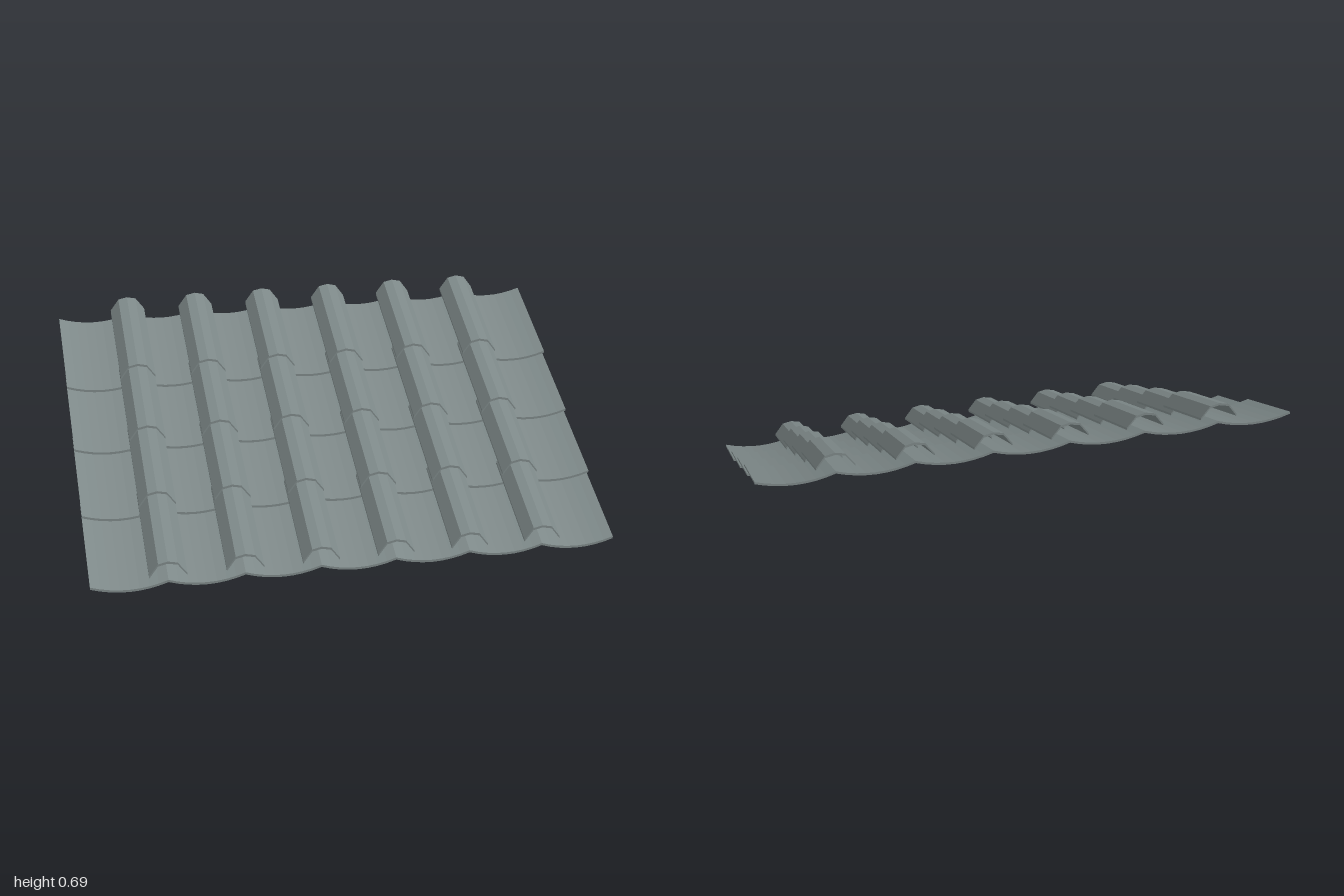
import * as THREE from 'three';

const COLUMNS = 7, ROWS = 4;
const PITCH = 2 / COLUMNS;          // width of one pan tile
const LENGTH = 0.384;               // tile length along z
const RISE = 0.153;                 // climb of a tile over its length
const FRONT = 0.638;                // front edge of the lowest course
const STEP_Z = 0.2973, STEP_Y = 0.143;
const THICKNESS = 0.009;

// Thick sheet from an upper profile, extruded back and sheared up the roof slope
function tileGeometry(profile) {
  const lower = profile.map(([x, y]) => new THREE.Vector2(x, y - THICKNESS));
  const upper = profile.map(([x, y]) => new THREE.Vector2(x, y)).reverse();
  const geometry = new THREE.ExtrudeGeometry(new THREE.Shape([...lower, ...upper]), {
    depth: LENGTH, bevelEnabled: false,
  });
  geometry.translate(0, 0, -LENGTH);
  const p = geometry.attributes.position;
  for (let i = 0; i < p.count; i++) p.setY(i, p.getY(i) - (p.getZ(i) / LENGTH) * RISE);
  geometry.computeVertexNormals();
  return geometry;
}

export function createModel() {
  const model = new THREE.Group();
  model.name = 'roofTiles';
  const slate = new THREE.MeshStandardMaterial({ color: 0x7d8888 });
  slate.name = 'slateGrey';

  // Shallow trough for the pans
  const panProfile = [];
  for (let i = 0; i <= 8; i++) {
    const u = i / 4 - 1;
    panProfile.push([u * PITCH / 2, THICKNESS + 0.025 * u * u]);
  }
  const panGeometry = tileGeometry(panProfile);

  // Faceted ridge that covers the joint between two pans
  const capGeometry = tileGeometry([
    [-0.07, 0.056], [-0.036, 0.102], [0, 0.11], [0.036, 0.102], [0.07, 0.056],
  ]);

  // Overlapping courses, from the eaves upward
  for (let r = 0; r < ROWS; r++) {
    const course = new THREE.Group();
    course.name = `course${r + 1}`;
    course.position.set(0, r * STEP_Y, FRONT - r * STEP_Z);
    for (let c = 0; c < COLUMNS; c++) {
      const pan = new THREE.Mesh(panGeometry, slate);
      pan.name = 'panTile';
      pan.position.x = (c - (COLUMNS - 1) / 2) * PITCH;
      course.add(pan);
    }
    for (let c = 1; c < COLUMNS; c++) {
      const cap = new THREE.Mesh(capGeometry, slate);
      cap.name = 'capTile';
      cap.position.x = (c - COLUMNS / 2) * PITCH;
      course.add(cap);
    }
    model.add(course);
  }
  return model;
}
